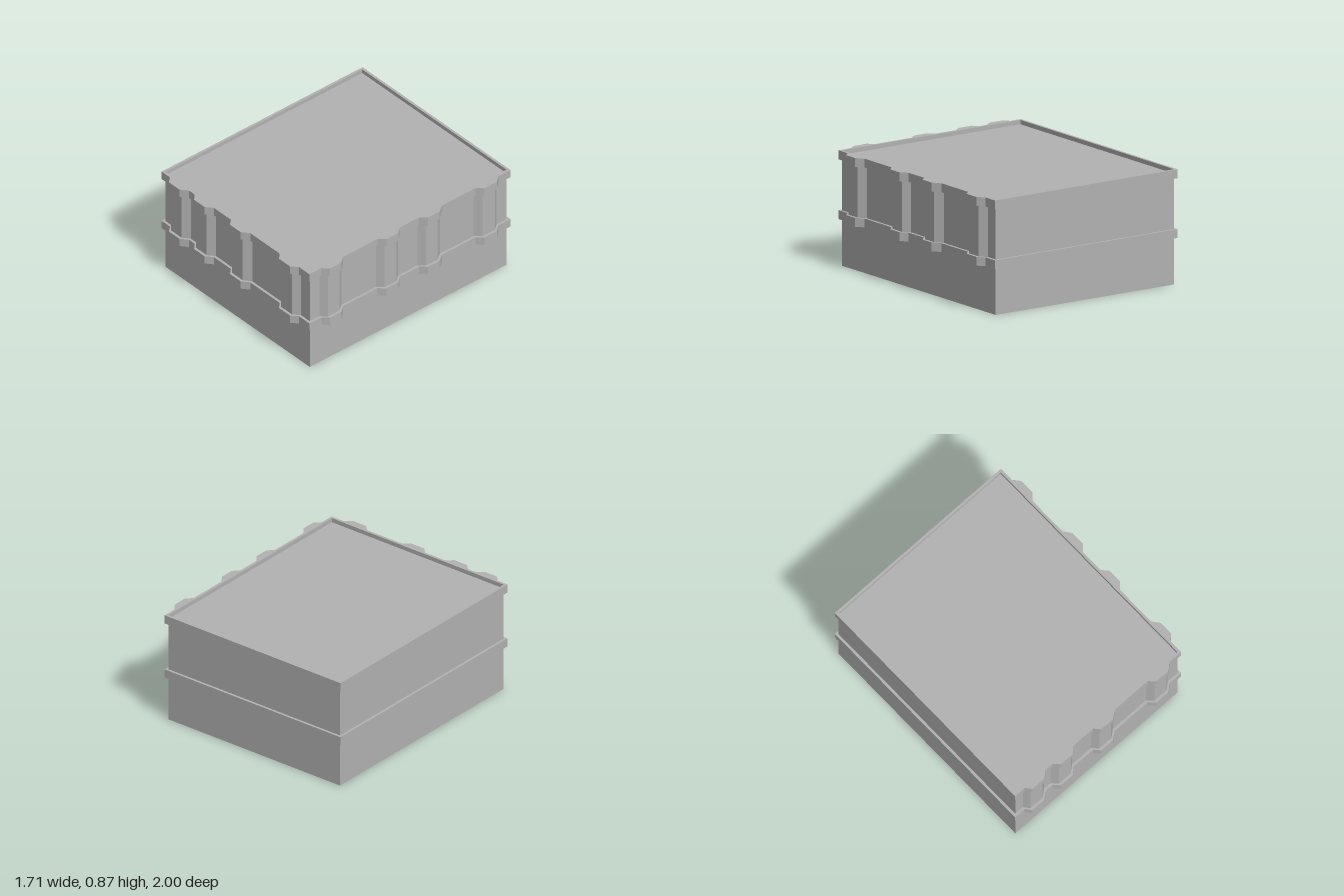
import * as THREE from 'three';

// Pilasters as [start, outer start, outer end, end] along each side
const frontBumps = [
  [-0.76, -0.723, -0.604, -0.547],
  [-0.483, -0.438, -0.32, -0.268],
  [-0.075, -0.035, 0.085, 0.142],
  [0.473, 0.517, 0.64, 0.69],
];
const sideBumps = [
  [0.84, 0.795, 0.685, 0.627],
  [0.293, 0.245, 0.13, 0.077],
  [-0.112, -0.158, -0.27, -0.333],
  [-0.66, -0.707, -0.828, -0.883],
];

// Plan outline: a rectangle grown by `grow`, with pilasters standing out by `depth`
function outline(y, grow, depth) {
  const x0 = -0.836 - grow, x1 = 0.788 + grow, z0 = -0.98 - grow, z1 = 0.935 + grow;
  const points = [[x0, y, z1]];
  for (const bump of frontBumps) {
    bump.forEach((x, i) => points.push([x, y, z1 + (i === 1 || i === 2 ? depth : 0)]));
  }
  points.push([x1, y, z1]);
  for (const bump of sideBumps) {
    bump.forEach((z, i) => points.push([x1 + (i === 1 || i === 2 ? depth : 0), y, z]));
  }
  points.push([x1, y, z0], [x0, y, z0]);
  return points;
}

// Skin between successive outlines, flat faced
function loft(name, loops, material) {
  const positions = [];
  for (let k = 0; k < loops.length - 1; k++) {
    const lo = loops[k], hi = loops[k + 1];
    for (let i = 0; i < lo.length; i++) {
      const j = (i + 1) % lo.length;
      positions.push(...lo[i], ...lo[j], ...hi[j], ...lo[i], ...hi[j], ...hi[i]);
    }
  }
  const geometry = new THREE.BufferGeometry();
  geometry.setAttribute('position', new THREE.Float32BufferAttribute(positions, 3));
  geometry.computeVertexNormals();
  const mesh = new THREE.Mesh(geometry, material);
  mesh.name = name;
  return mesh;
}

export function createModel() {
  const group = new THREE.Group();
  group.name = 'building';
  const grey = new THREE.MeshStandardMaterial({ color: 0xb2b2b2, side: THREE.DoubleSide });
  grey.name = 'plain grey';

  const base = (y) => outline(y, 0, 0);
  const wall = (y) => outline(y, 0, 0.044);
  const ledge = (y) => outline(y, 0.02, 0.045);
  const roofY = 0.84;

  // Hollow shell, open underneath
  group.add(
    loft('base', [base(0), base(0.353)], grey),
    loft('lowerLedge', [base(0.353), ledge(0.353), ledge(0.42), wall(0.42)], grey),
    loft('pilasterWall', [wall(0.42), wall(0.805)], grey),
    loft('upperLedge', [wall(0.805), ledge(0.805), ledge(0.873), base(0.873), base(roofY)], grey),
  );

  // Flat roof recessed behind the rim
  const roof = new THREE.Mesh(new THREE.PlaneGeometry(1.624, 1.915), grey);
  roof.name = 'roof';
  roof.rotation.x = -Math.PI / 2;
  roof.position.set(-0.024, roofY, -0.0225);
  group.add(roof);

  return group;
}
